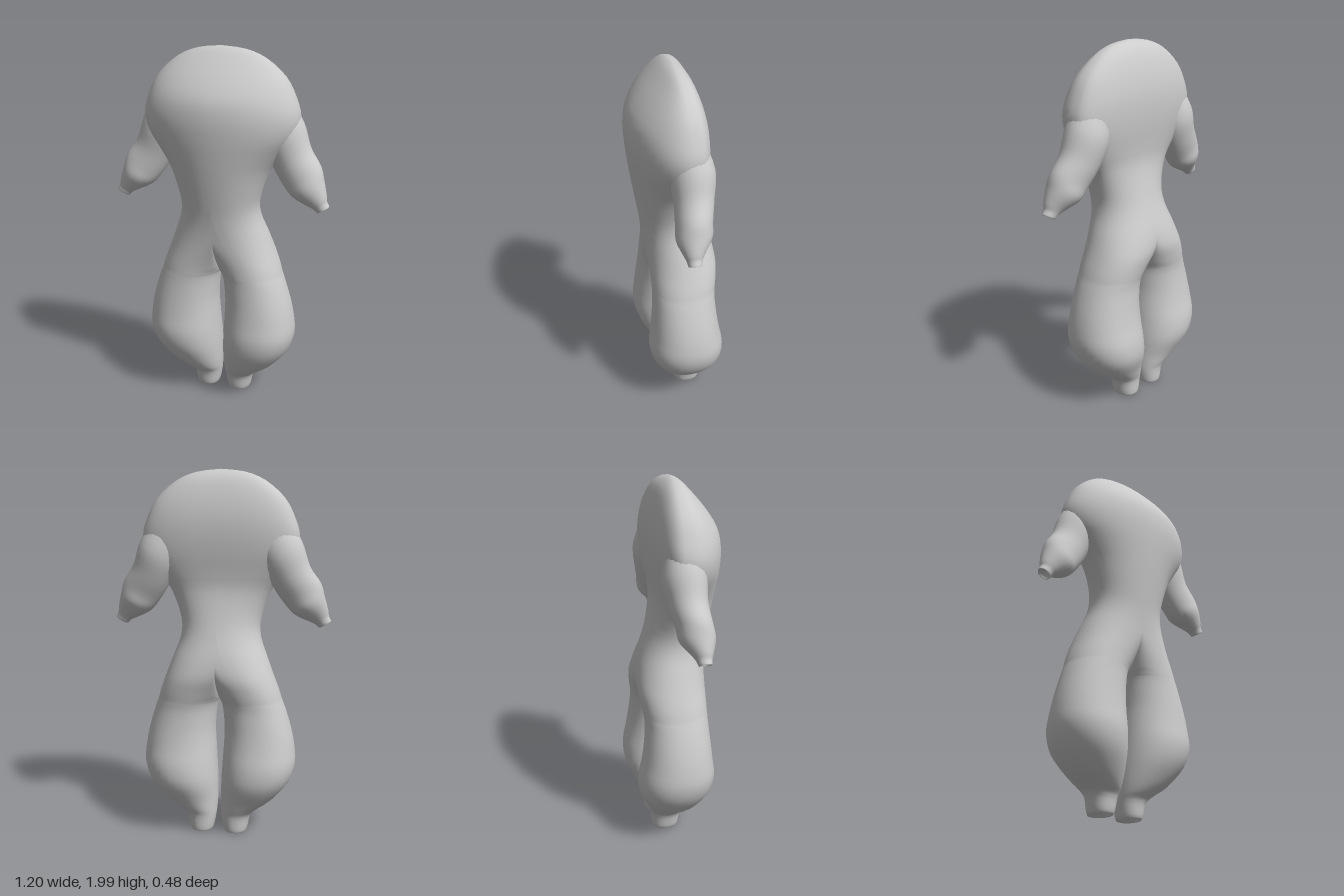
import * as THREE from 'three';
import { mergeVertices } from 'three/addons/utils/BufferGeometryUtils.js';

const { smoothstep, lerp, clamp } = THREE.MathUtils;

// Half-body sections: height, inner x, outer x, front z, back z
const BODY = [
  [0.04, 0.095, 0.095, -0.06, -0.06], // closed end inside the ankle opening
  [0.035, 0.055, 0.135, -0.015, -0.1],
  [0.01, 0.04, 0.15, 0, -0.13],
  [0.03, 0.028, 0.162, 0.012, -0.14],
  [0.1, 0.015, 0.178, 0.025, -0.145],
  [0.14, 0.012, 0.215, 0.06, -0.16],
  [0.2, 0.01, 0.3, 0.105, -0.185],
  [0.3, 0.012, 0.385, 0.16, -0.23],
  [0.4, 0.018, 0.42, 0.18, -0.235],
  [0.5, 0.024, 0.415, 0.17, -0.215],
  [0.6, 0.028, 0.395, 0.16, -0.2],
  [0.7, 0.02, 0.365, 0.152, -0.192],
  [0.75, 0.01, 0.347, 0.15, -0.195],
  [0.77, 0, 0.34, 0.15, -0.198],
  [0.82, 0, 0.325, 0.15, -0.206],
  [0.9, 0, 0.295, 0.153, -0.215],
  [1.0, 0, 0.258, 0.16, -0.2],
  [1.1, 0, 0.222, 0.172, -0.17],
  [1.2, 0, 0.22, 0.188, -0.14],
  [1.35, 0, 0.27, 0.212, -0.108],
  [1.45, 0, 0.335, 0.226, -0.112],
  [1.55, 0, 0.405, 0.237, -0.125],
  [1.65, 0, 0.425, 0.24, -0.133],
  [1.75, 0, 0.397, 0.222, -0.13],
  [1.85, 0, 0.343, 0.158, -0.11],
  [1.94, 0, 0.24, 0.08, -0.075],
  [1.985, 0, 0.13, 0.034, -0.035],
  [2.0, 0, 0, 0, 0],
];

// Arm sections: centre x, y, z, radius across, radius in depth
const ARM = [
  [0.26, 1.70, -0.01, 0.11, 0.08],
  [0.33, 1.56, -0.02, 0.125, 0.112],
  [0.385, 1.435, -0.015, 0.113, 0.1],
  [0.445, 1.345, 0, 0.112, 0.092],
  [0.482, 1.28, 0.008, 0.094, 0.09],
  [0.53, 1.225, 0.02, 0.06, 0.055],
  [0.55, 1.2, 0.023, 0.042, 0.04],
  [0.567, 1.178, 0.025, 0.037, 0.033],
  [0.56, 1.187, 0.025, 0.026, 0.024], // rolled-in cuff
  [0.55, 1.205, 0.025, 0, 0],
];

// Smooth interpolation of every column of a section table
function refine(rows, steps) {
  const at = (i) => rows[clamp(i, 0, rows.length - 1)];
  const out = [];
  for (let i = 0; i < rows.length - 1; i++) {
    for (let s = 0; s < steps; s++) {
      const t = s / steps;
      out.push(rows[i].map((b, k) => {
        const a = at(i - 1)[k], c = at(i + 1)[k], d = at(i + 2)[k];
        return b + 0.5 * t * (c - a + t * (2 * a - 5 * b + 4 * c - d + t * (3 * (b - c) + d - a)));
      }));
    }
  }
  out.push(rows[rows.length - 1]);
  return out;
}

// Skin a list of rings and its mirror image into one smooth surface
function skinBothSides(rings, flip) {
  const pos = [], index = [], n = rings[0].length;
  for (const side of [1, -1]) {
    const base = pos.length / 3;
    for (const ring of rings) for (const [x, y, z] of ring) pos.push(side * x, y, z);
    for (let i = 0; i < rings.length - 1; i++) {
      for (let j = 0; j < n - 1; j++) {
        const a = base + i * n + j, b = a + 1, c = b + n, d = a + n;
        if ((side > 0) !== flip) index.push(a, b, c, a, c, d);
        else index.push(a, c, b, a, d, c);
      }
    }
  }
  const geometry = new THREE.BufferGeometry();
  geometry.setAttribute('position', new THREE.Float32BufferAttribute(pos, 3));
  geometry.setIndex(index);
  const merged = mergeVertices(geometry, 1e-4);
  merged.computeVertexNormals();
  return merged;
}

// Half ring from the inner front, round the outside, to the inner back
function bodyRing([y, innerX, xo, zf, zb]) {
  const xi = y >= 0.769 ? 0 : Math.max(innerX, 0);
  const join = Math.sin(clamp((y - 0.77) / 0.2, 0, 1) * Math.PI / 2) ** 0.75; // legs fuse at the crotch
  const cx = lerp((xi + xo) / 2, 0, smoothstep(y, 0.75, 1.15));
  const zc = lerp((zf + zb) / 2, 0, smoothstep(y, 1.0, 1.5));
  const chest = smoothstep(y, 1.2, 1.6);
  const N = 20, ring = [];
  for (let j = -N; j <= N; j++) {
    const a = Math.abs(j) / N * Math.PI;
    const p = 2 / (j < 0 ? lerp(2.15, 1.95, chest) : lerp(2.15, 3, chest));
    const c = Math.cos(a), s = Math.abs(j) === N ? 0 : Math.sin(a) ** p;
    const x = c > 0 ? cx + (xo - cx) * c ** p : cx - (cx - xi) * (-c) ** p;
    const depth = c > 0 ? s : lerp(s, 1, join);
    ring.push([Math.abs(j) === N ? xi : x, y, zc + ((j < 0 ? zf : zb) - zc) * depth]);
  }
  return ring;
}

function armRing([x, y, z, r, rz]) {
  const ring = [], N = 24;
  for (let j = 0; j <= N; j++) {
    const a = j / N * Math.PI * 2, u = Math.cos(a) * r;
    ring.push([x + u * 0.86, y + u * 0.51, z + Math.sin(a) * rz]);
  }
  return ring;
}

export function createModel() {
  const group = new THREE.Group();
  const material = new THREE.MeshStandardMaterial({ color: 0xcccccc, side: THREE.DoubleSide });
  const add = (name, geometry) => {
    const mesh = new THREE.Mesh(geometry, material);
    mesh.name = name;
    group.add(mesh);
  };
  // Torso and both legs as one skin
  add('torsoAndLegs', skinBothSides(refine(BODY, 3).map(bodyRing), false));
  // Pair of puffed sleeves
  add('sleeves', skinBothSides(refine(ARM, 4).map(armRing), false));
  return group;
}
